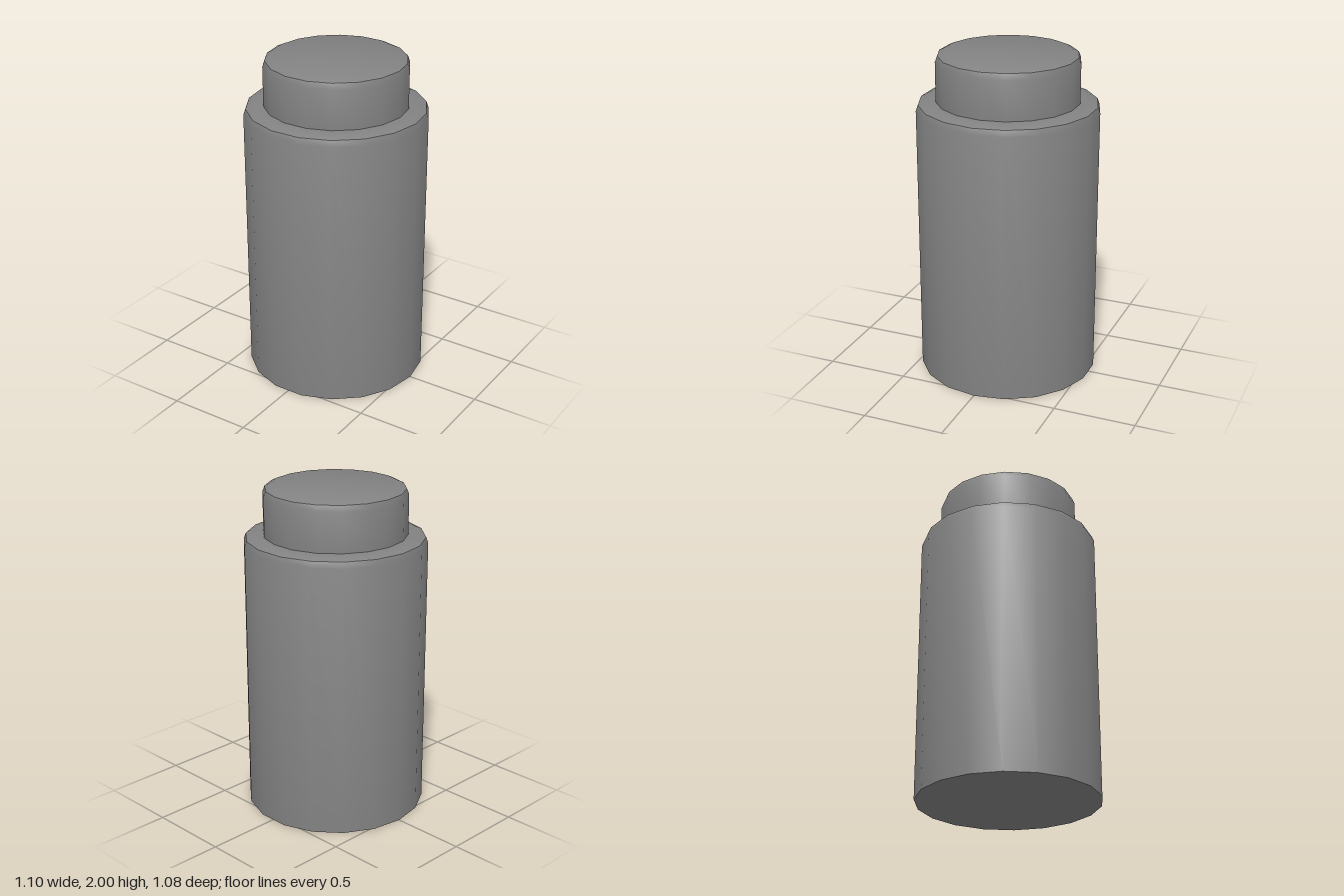
import * as THREE from 'three';
import { toCreasedNormals } from 'three/addons/utils/BufferGeometryUtils.js';

const SIDES = 18;

// Turned part from a profile of [radius, height], bottom to top
function turned(name, profile, material) {
  const points = profile.map(([r, y]) => new THREE.Vector2(r, y));
  const lathe = new THREE.LatheGeometry(points, SIDES, Math.PI / 2);
  const mesh = new THREE.Mesh(toCreasedNormals(lathe, THREE.MathUtils.degToRad(40)), material);
  mesh.name = name;
  return mesh;
}

export function createModel() {
  const group = new THREE.Group();
  group.name = 'cappedContainer';
  const material = new THREE.MeshStandardMaterial({ color: 0x828282 });

  // Straight body with a bevelled shoulder
  group.add(turned('body', [
    [0, 0], [0.548, 0], [0.548, 1.66], [0.535, 1.695], [0.5, 1.71], [0.43, 1.71],
  ], material));

  // Narrower cap with a bevelled rim
  group.add(turned('cap', [
    [0.43, 1.71], [0.43, 1.95], [0.417, 1.985], [0.385, 2], [0, 2],
  ], material));

  return group;
}
